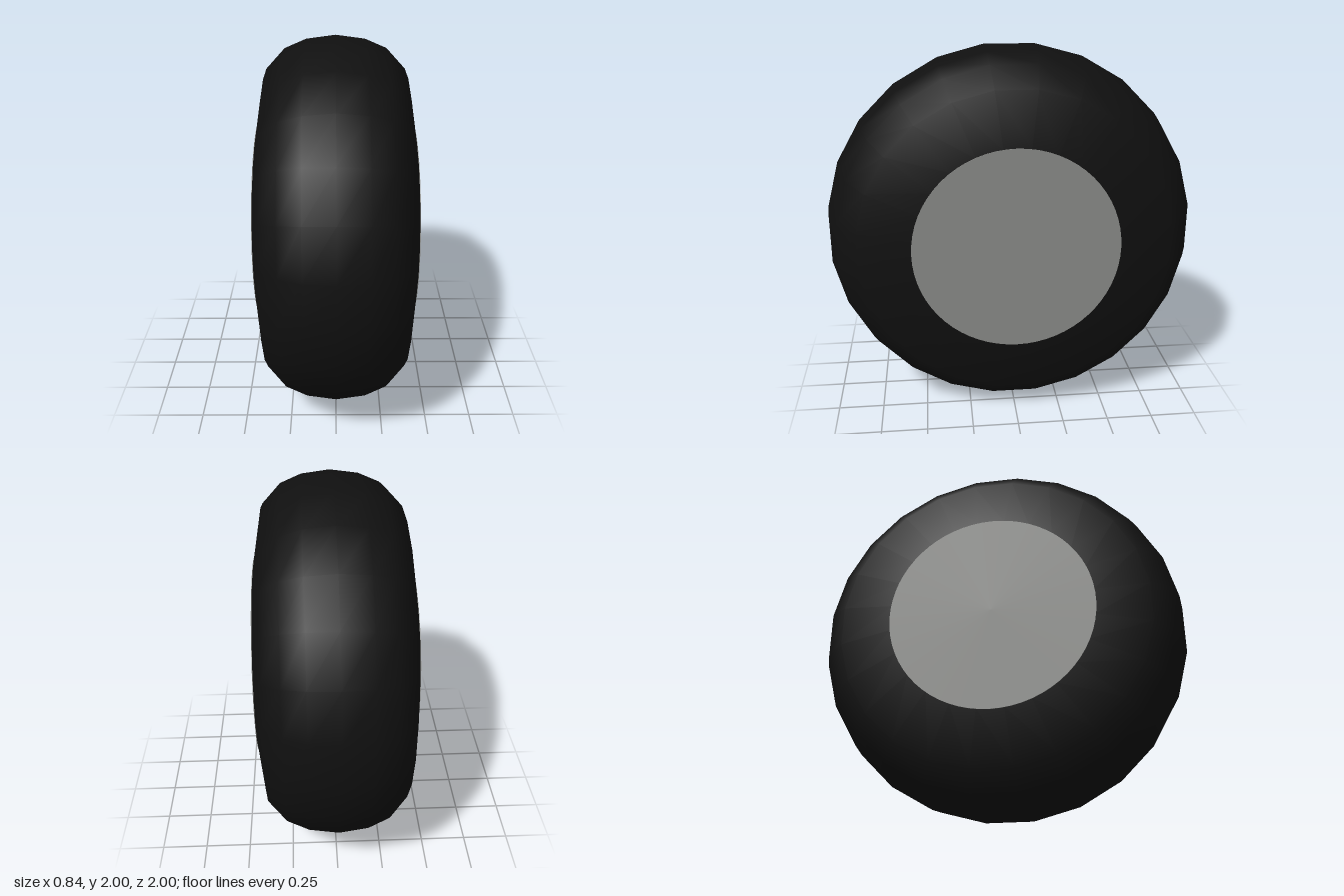
import * as THREE from 'three';

export function createModel() {
  const group = new THREE.Group();
  group.name = 'wheel';
  const rubber = new THREE.MeshStandardMaterial({ name: 'black rubber', color: 0x101010 });
  const metal = new THREE.MeshStandardMaterial({ name: 'grey metal', color: 0x8a8b88 });

  // Tyre: half profile (offset from the middle, flat-to-flat radius), mirrored and turned
  const sides = 24;
  const step = Math.PI / sides;
  const half = [[0.155, 0.98], [0.27, 0.932], [0.37, 0.825], [0.42, 0.537]];
  const profile = [
    ...half.map(([x, r]) => [-x, r]).reverse(),
    [0, 1],
    ...half,
  ].map(([x, r]) => new THREE.Vector2(r / Math.cos(step), x));
  const tyreGeometry = new THREE.LatheGeometry(profile, sides, step);
  tyreGeometry.rotateZ(-Math.PI / 2);
  const tyre = new THREE.Mesh(tyreGeometry, rubber);
  tyre.name = 'tyre';

  // Hub: a smooth round core whose flat ends fill both sidewalls
  const hubGeometry = new THREE.CylinderGeometry(0.546, 0.546, 0.844, 64);
  hubGeometry.rotateZ(-Math.PI / 2);
  const hub = new THREE.Mesh(hubGeometry, metal);
  hub.name = 'hub';

  group.add(tyre, hub);
  group.children.forEach((part) => { part.position.y = 1; });
  return group;
}
